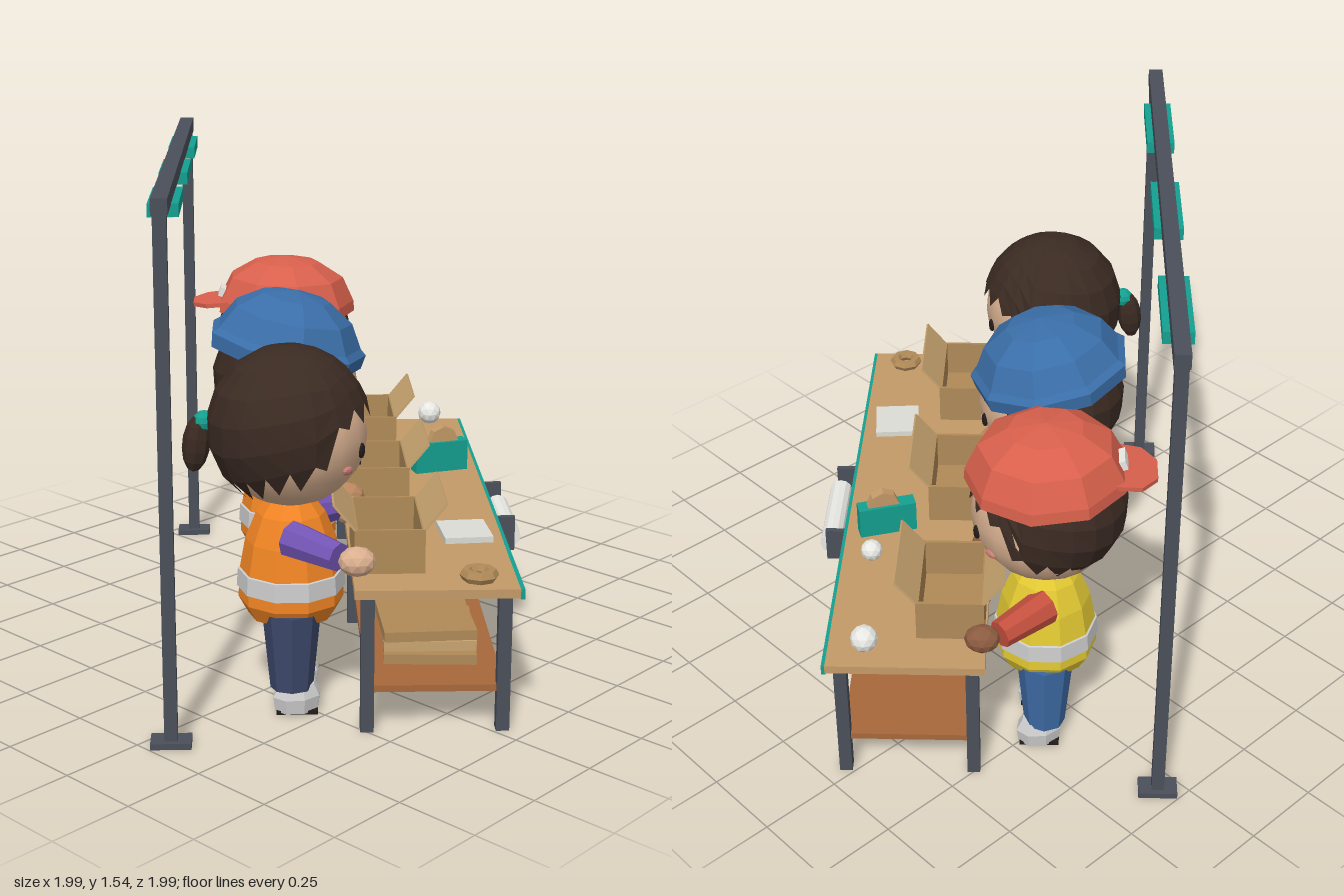
import * as THREE from 'three';

const C = {
  steel: 0x4a4f5a, teal: 0x14a090, wood: 0xc49a68, shelf: 0xa8683c, card: 0xb08a58, cardLight: 0xc8a470,
  white: 0xe8e8e4, hair: 0x3a2a22, face: 0xd8b090, dark: 0x221c1a, cheek: 0xd08078, grey: 0xcccccc,
};

function add(parent, name, geo, color, pos = [0, 0, 0], rot = [0, 0, 0], opts = {}) {
  const mat = new THREE.MeshStandardMaterial({ color, flatShading: !opts.smooth });
  if (opts.open) mat.side = THREE.DoubleSide;
  const mesh = new THREE.Mesh(geo, mat);
  mesh.name = name;
  mesh.position.set(...pos);
  mesh.rotation.set(...rot);
  parent.add(mesh);
  return mesh;
}
const box = (w, h, d) => new THREE.BoxGeometry(w, h, d);
const lathe = (pts, n) => new THREE.LatheGeometry(pts.map(p => new THREE.Vector2(...p)), n);

// Limb stretched between two points
function limb(parent, name, a, b, r0, r1, color) {
  const A = new THREE.Vector3(...a), B = new THREE.Vector3(...b), dir = B.clone().sub(A);
  const m = add(parent, name, new THREE.CylinderGeometry(r1, r0, dir.length(), 8), color);
  m.position.copy(A).add(B).multiplyScalar(0.5);
  m.quaternion.setFromUnitVectors(new THREE.Vector3(0, 1, 0), dir.normalize());
}

// Hair shell: a sphere whose lower rim is high over the face and low at the back
function hairGeometry(r) {
  const g = new THREE.SphereGeometry(r, 20, 7);
  const p = g.attributes.position, uv = g.attributes.uv;
  for (let i = 0; i < p.count; i++) {
    const az = uv.getX(i) * Math.PI * 2 - Math.PI;          // 0 faces forward
    const k = THREE.MathUtils.smoothstep(Math.abs(az), 0.75, 1.35);
    const back = THREE.MathUtils.smoothstep(Math.abs(az), 1.3, 2.6);
    const polar = (1 - uv.getY(i)) * (1.42 + 0.75 * k + 0.35 * back);
    const s = Math.sin(polar) * r;
    p.setXYZ(i, s * Math.sin(az), Math.cos(polar) * r, s * Math.cos(az));
  }
  return g;
}

function worker(o) {
  const g = new THREE.Group();
  g.name = o.name;
  // Torso with vest and reflective band
  add(g, 'vest', lathe([[0, 0.26], [0.125, 0.27], [0.153, 0.32], [0.15, 0.4], [0.132, 0.5], [0.1, 0.58], [0.06, 0.63]], 10), o.vest);
  add(g, 'reflectiveBand', lathe([[0.15, 0.352], [0.158, 0.355], [0.154, 0.408], [0.145, 0.411]], 10), C.grey, [0, 0, 0], [0, 0, 0], { open: true });
  for (const s of [-1, 1]) {
    // Legs and shoes
    limb(g, 'leg', [s * 0.085, 0.07, 0], [s * 0.07, 0.3, 0], 0.062, 0.085, o.trousers);
    add(g, 'shoe', lathe([[0, 0.006], [0.055, 0.006], [0.06, 0.05], [0.045, 0.085], [0, 0.085]], 8), o.shoe, [s * 0.088, 0, 0.015], [0, Math.PI / 8, 0]).scale.set(0.95, 1, 1.25);
    add(g, 'sole', box(0.08, 0.012, 0.12), C.dark, [s * 0.088, 0.006, 0.015]);
    // Arms reaching for the carton
    limb(g, 'sleeve', [s * 0.1, 0.53, 0.0], [s * 0.215, 0.515, 0.13], 0.055, 0.042, o.shirt);
    add(g, 'hand', new THREE.IcosahedronGeometry(0.046, 1), o.skin, [s * 0.222, 0.505, 0.18]).scale.set(0.9, 0.95, 1.15);
    // Face
    add(g, 'eye', new THREE.SphereGeometry(0.017, 8, 6), C.dark, [s * 0.085, 0.785, 0.198], [0, s * 0.4, 0]).scale.set(0.85, 1.35, 0.6);
    add(g, 'cheek', new THREE.SphereGeometry(0.024, 8, 6), C.cheek, [s * 0.125, 0.738, 0.157], [0.3, s * 0.65, 0]).scale.set(1, 0.55, 0.4);
  }
  add(g, 'mouth', box(0.03, 0.007, 0.012), C.dark, [0, 0.725, 0.195]);
  add(g, 'head', new THREE.SphereGeometry(0.22, 18, 12), C.face, [0, 0.82, 0], [0, 0, 0], { smooth: true }).scale.y = 0.97;
  const hair = add(g, 'hair', hairGeometry(0.236), C.hair, [0, 0.835, -0.005], [0, 0, 0], { open: true });
  if (o.hat) hair.scale.set(0.98, 0.9, 0.98);
  if (o.hat === 'rimmed') {
    // Round hat tipped towards the face
    add(g, 'hat', lathe([[0.215, -0.05], [0.245, -0.05], [0.252, -0.005], [0.232, 0.012], [0.19, 0.085], [0.11, 0.138], [0, 0.158]], 9),
      o.hatColor, [0, 0.95, 0], [0.2, 0, 0], { open: true });
  } else if (o.hat === 'cap') {
    // Cap worn backwards, bill behind
    add(g, 'cap', lathe([[0.238, -0.015], [0.234, 0.02], [0.195, 0.1], [0.11, 0.152], [0, 0.17]], 9), o.hatColor, [0, 0.935, 0], [0.03, 0, 0], { open: true });
    const bill = new THREE.Shape();
    bill.moveTo(-0.11, -0.17);
    bill.lineTo(-0.1, -0.27);
    bill.lineTo(-0.045, -0.315);
    bill.lineTo(0.045, -0.315);
    bill.lineTo(0.1, -0.27);
    bill.lineTo(0.11, -0.17);
    const geo = new THREE.ExtrudeGeometry(bill, { depth: 0.014, bevelEnabled: false });
    geo.rotateX(Math.PI / 2).scale(1, 1, 1);
    add(g, 'capBill', geo, o.hatColor, [0, 0.985, 0], [-0.1, 0, 0]);
    add(g, 'capStrapGap', box(0.07, 0.03, 0.02), C.white, [0, 0.985, -0.215], [0.35, 0, 0]);
  } else {
    // Ponytail with a tie
    add(g, 'hairTie', new THREE.SphereGeometry(0.032, 8, 6), C.teal, [0, 0.85, -0.245]);
    add(g, 'ponytail', new THREE.SphereGeometry(0.045, 8, 7), C.hair, [0, 0.785, -0.268], [0.12, 0, 0]).scale.set(0.9, 1.9, 0.9);
  }
  return g;
}

// Open carton with front and back flaps
function carton() {
  const g = new THREE.Group(), t = 0.01, h = 0.13, w = 0.3, d = 0.2;
  g.name = 'carton';
  add(g, 'cartonFloor', box(w, t, d), C.card, [0, t / 2, 0]);
  for (const s of [-1, 1]) {
    add(g, 'cartonSide', box(t, h, d), C.card, [s * (w - t) / 2, h / 2, 0]);
    add(g, 'cartonWall', box(w, h, t), C.card, [0, h / 2, s * (d - t) / 2]);
    add(g, 'cartonFlap', box(w, 0.1, 0.007), C.cardLight, [0, h + 0.036, s * (d / 2 + 0.028)], [s * 0.68, 0, 0]);
  }
  return g;
}

export function createModel() {
  const model = new THREE.Group();
  model.name = 'packingStation';
  const g = new THREE.Group();
  g.name = 'station';
  g.rotation.y = Math.PI / 4;
  model.add(g);
  const spots = [-0.575, 0, 0.575];

  // Overhead frame and lamps
  for (const s of [-1, 1]) {
    add(g, 'framePost', box(0.037, 1.5, 0.037), C.steel, [s * 0.883, 0.75, -0.435]);
    add(g, 'postFoot', box(0.07, 0.018, 0.115), C.steel, [s * 0.883, 0.009, -0.435]);
  }
  add(g, 'frameBeam', box(1.81, 0.045, 0.045), C.steel, [0, 1.515, -0.435]);
  for (const u of spots) {
    add(g, 'lampHousing', box(0.3, 0.036, 0.085), C.teal, [u, 1.477, -0.435]);
    add(g, 'lampPanel', box(0.26, 0.006, 0.055), 0xf0dcb0, [u, 1.457, -0.435]);
  }

  // Work table
  add(g, 'tableTop', box(1.71, 0.026, 0.462), C.wood, [0, 0.427, 0.307]);
  add(g, 'tableEdge', box(1.71, 0.03, 0.012), C.teal, [0, 0.425, 0.542]);
  add(g, 'shelf', box(1.62, 0.02, 0.39), C.shelf, [0, 0.127, 0.31]);
  for (const u of [-0.805, 0, 0.805])
    for (const v of [0.115, 0.5]) add(g, 'tableLeg', box(0.038, 0.416, 0.038), C.steel, [u, 0.208, v]);

  // Flat cartons on the shelf
  [[-0.48, 3], [0.31, 2]].forEach(([u, n]) => {
    for (let i = 0; i < n; i++)
      add(g, 'flatCarton', box(0.38 - 0.01 * i, 0.03, 0.27), i % 2 ? C.cardLight : C.card,
        [u + 0.012 * (i % 2), 0.153 + i * 0.034, 0.315 - 0.008 * i], [0, 0.05 * (i - 1), 0]);
  });

  // Workers, each with a carton
  const crew = [
    { name: 'workerWithPonytail', vest: 0xf08424, shirt: 0x7254b4, trousers: 0x3c4668, shoe: C.grey, skin: 0xdcb090 },
    { name: 'workerWithRimmedHat', vest: 0xf08424, shirt: 0x667080, trousers: 0x4c5444, shoe: 0x64503f, skin: 0xb8865f, hat: 'rimmed', hatColor: 0x3a6ea8 },
    { name: 'workerWithCap', vest: 0xe2c832, shirt: 0xc4503e, trousers: 0x3c68a0, shoe: C.grey, skin: 0x8c5c40, hat: 'cap', hatColor: 0xd8604c },
  ];
  crew.forEach((o, i) => {
    const w = worker(o), c = carton();
    w.position.set(spots[i], 0, -0.095);
    c.position.set(spots[i], 0.44, 0.182);
    g.add(w, c);
  });

  // Tape dispenser
  const tape = new THREE.Group();
  tape.name = 'tapeDispenser';
  tape.position.set(0.212, 0.44, 0.41);
  tape.rotation.y = -1.28;
  g.add(tape);
  add(tape, 'dispenserBody', box(0.18, 0.1, 0.05), C.teal, [0, 0.06, 0]);
  add(tape, 'dispenserRoll', new THREE.CylinderGeometry(0.05, 0.05, 0.03, 8), C.wood, [0.01, 0.11, 0], [Math.PI / 2, 0, 0]);

  // Loose items on the table
  add(g, 'paperBall', new THREE.IcosahedronGeometry(0.041, 1), C.white, [0.781, 0.485, 0.428]);
  add(g, 'paperBall', new THREE.IcosahedronGeometry(0.034, 1), C.white, [0.361, 0.48, 0.445]);
  add(g, 'paperStack', box(0.16, 0.018, 0.145), 0xdcdcd6, [-0.4, 0.449, 0.428], [0, 0.08, 0]);
  add(g, 'tapeRing', new THREE.TorusGeometry(0.038, 0.018, 6, 8), C.card, [-0.78, 0.458, 0.428], [Math.PI / 2, 0, 0]);

  // Paper roll on the front edge
  add(g, 'paperRoll', new THREE.CylinderGeometry(0.036, 0.036, 0.3, 12), C.white, [0.005, 0.342, 0.6], [0, 0, Math.PI / 2]);
  add(g, 'rollShaft', new THREE.CylinderGeometry(0.01, 0.01, 0.36, 8), C.steel, [0.005, 0.342, 0.6], [0, 0, Math.PI / 2]);
  for (const s of [-1, 1]) add(g, 'rollBracket', box(0.016, 0.11, 0.085), C.steel, [0.005 + s * 0.172, 0.36, 0.57]);

  return model;
}
